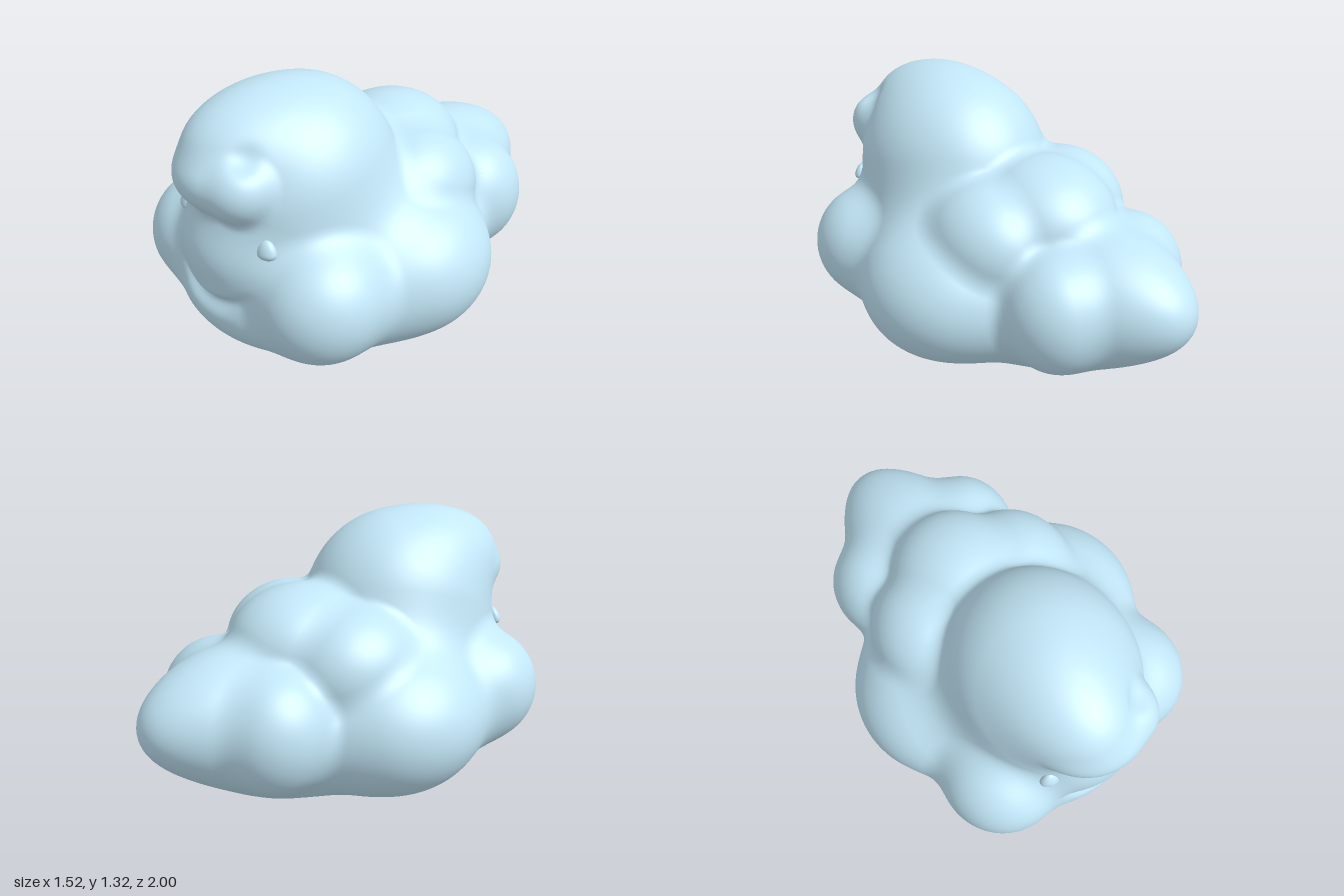
import * as THREE from 'three';

// Puffs of the cloud body, melted together in this order:
// centre x y z, radii x y z, blend width. Pairs are mirrored.
const pair = (x, ...rest) => [[x, ...rest], [-x, ...rest]];
const puffs = [
  [0, 0.422, 0.2, 0.67, 0.42, 0.74, 0.05],              // belly
  [0, 0.42, -0.15, 0.45, 0.385, 0.6, 0.06],             // rump
  [0, 0.37, 0.62, 0.45, 0.185, 0.32, 0.1],              // chin
  ...pair(0.3, 0.45, 0.12, 0.46, 0.37, 0.45, 0.06),     // flanks
  [0, 0.85, 0.43, 0.43, 0.47, 0.48, 0.22],              // head
  ...pair(0.38, 0.49, 0.62, 0.285, 0.285, 0.295, 0.08), // cheeks
  [0, 0.65, 0.68, 0.28, 0.2, 0.28, 0.13],               // muzzle
  [0, 0.78, -0.15, 0.32, 0.27, 0.36, 0.06],             // back
  ...pair(0.25, 0.71, -0.05, 0.28, 0.275, 0.32, 0.05),  // shoulder puffs
  [0, 0.5, -0.48, 0.35, 0.32, 0.38, 0.08],              // tail base
  [0, 0.53, -0.62, 0.26, 0.255, 0.38, 0.12],            // tail tip
  ...pair(0.25, 0.5, -0.47, 0.25, 0.285, 0.265, 0.07),  // rear puffs
  [-0.05, 1.06, 0.62, 0.26, 0.24, 0.33, 0.1],           // forelock
  [-0.01, 1.005, 0.75, 0.27, 0.165, 0.25, 0.035],       // forelock front
  [0.14, 1.0, 0.82, 0.125, 0.135, 0.14, 0.05],          // curled tip
];

// Approximate distance to an ellipsoid
function ellipsoid(x, y, z, [cx, cy, cz, rx, ry, rz]) {
  const a = (x - cx) / rx, b = (y - cy) / ry, c = (z - cz) / rz;
  const k0 = Math.hypot(a, b, c);
  const k1 = Math.hypot(a / rx, b / ry, c / rz);
  return k1 < 1e-6 ? -Math.min(rx, ry, rz) : k0 * (k0 - 1) / k1;
}

// All puffs melted together, with the smile and the curl's hollow pressed in
function field(x, y, z) {
  let d = 10;
  for (const p of puffs) {
    const e = ellipsoid(x, y, z, p), k = p[6];
    const h = Math.max(k - Math.abs(d - e), 0) / k;
    d = Math.min(d, e) - h * h * k * 0.25;
  }
  if (z > 0.6 && Math.abs(x) < 0.4) {
    const off = y - (0.452 + 1.5 * x * x);
    const width = off > 0 ? 0.032 : 0.045;   // firm lip above, soft chin below
    d += 0.03 * Math.exp(-((off / width) ** 2) - (x / 0.2) ** 4);
    const hollow = Math.hypot(x - 0.18, y - 1.16, z - 0.84);
    d += 0.03 * Math.exp(-((hollow / 0.055) ** 2));
  }
  return d;
}

// Shrink-wrap a sphere onto the field
function wrap(center, segU, segV) {
  const geo = new THREE.SphereGeometry(1, segU, segV);
  const pos = geo.attributes.position, nor = geo.attributes.normal;
  const dir = new THREE.Vector3(), p = new THREE.Vector3(), n = new THREE.Vector3();
  const e = 0.004;
  for (let i = 0; i < pos.count; i++) {
    dir.fromBufferAttribute(pos, i).normalize();
    let t = 1.6;
    for (let s = 0; s < 70; s++) {
      p.copy(center).addScaledVector(dir, t);
      const d = field(p.x, p.y, p.z);
      if (Math.abs(d) < 0.0003) break;
      t -= d * 0.7;
    }
    n.set(
      field(p.x + e, p.y, p.z) - field(p.x - e, p.y, p.z),
      field(p.x, p.y + e, p.z) - field(p.x, p.y - e, p.z),
      field(p.x, p.y, p.z + e) - field(p.x, p.y, p.z - e),
    ).normalize();
    pos.setXYZ(i, p.x, p.y, p.z);
    nor.setXYZ(i, n.x, n.y, n.z);
  }
  return geo;
}

// Egg-shaped eye, narrower at the top and flatter below
function eyeGeometry() {
  const geo = new THREE.SphereGeometry(1, 32, 24);
  const pos = geo.attributes.position;
  for (let i = 0; i < pos.count; i++) {
    const y = pos.getY(i), taper = 1 - 0.15 * y;
    pos.setXYZ(i, pos.getX(i) * 0.046 * taper, y * (y > 0 ? 0.055 : 0.034), pos.getZ(i) * 0.03 * taper);
  }
  geo.computeVertexNormals();
  return geo;
}

export function createModel() {
  const group = new THREE.Group();
  const material = new THREE.MeshStandardMaterial({ color: 0xc3e7f8 });

  const body = new THREE.Mesh(wrap(new THREE.Vector3(0, 0.56, 0.2), 300, 220), material);
  body.name = 'cloudBody';
  group.add(body);

  // Eyes rest on the face surface
  const eyeGeo = eyeGeometry();
  for (const side of [1, -1]) {
    const x = 0.273 * side, y = 0.764;
    let z = 1;
    while (field(x, y, z) > 0 && z > 0.6) z -= 0.002;
    const eye = new THREE.Mesh(eyeGeo, material);
    eye.name = side > 0 ? 'leftEye' : 'rightEye';
    eye.position.set(x, y, z - 0.004);
    eye.rotation.set(-0.2, 0.3 * side, 0.12 * side);
    group.add(eye);
  }
  return group;
}
